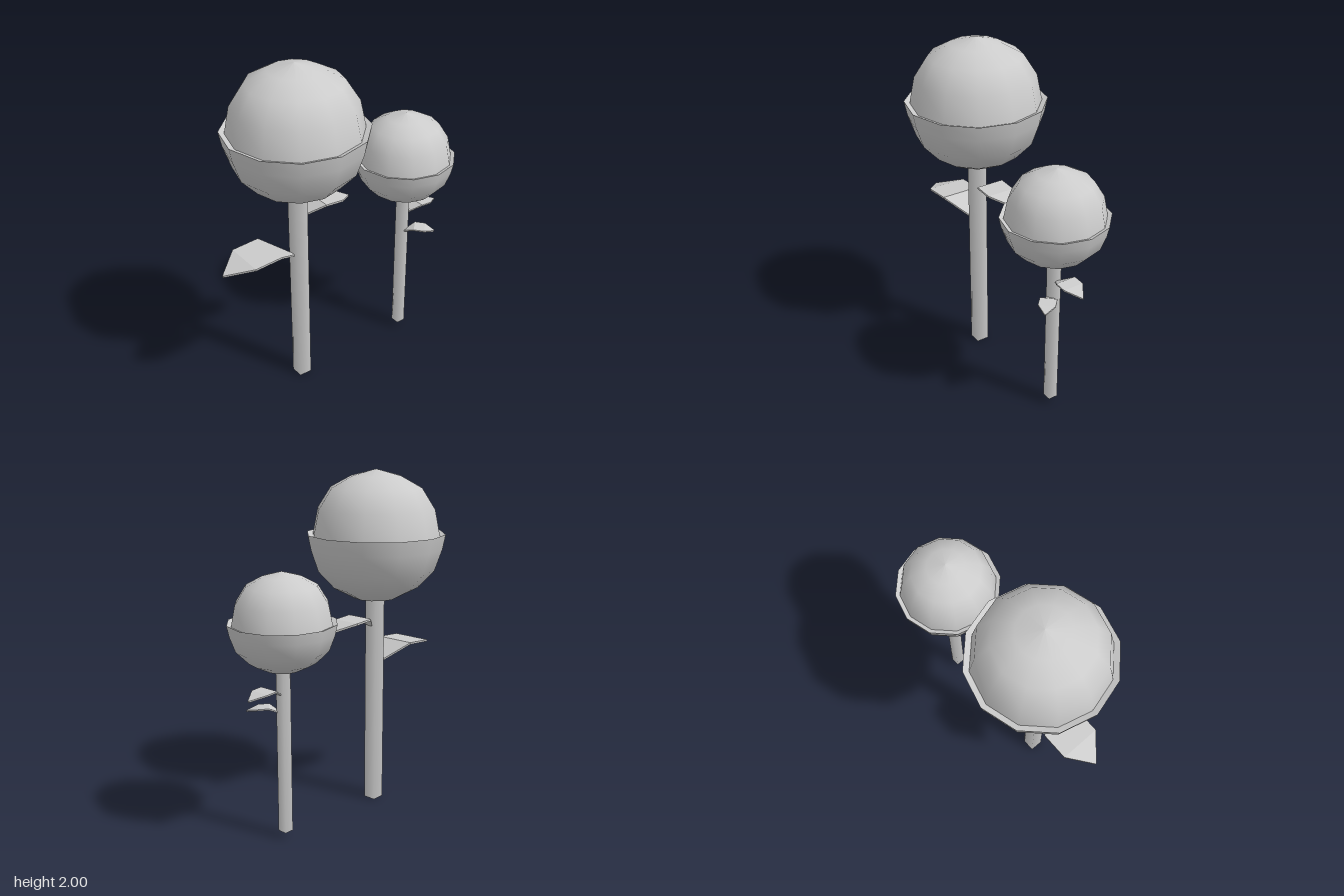
import * as THREE from 'three';

const smooth = new THREE.MeshStandardMaterial({ color: 0xcccccc, side: THREE.DoubleSide });
const faceted = new THREE.MeshStandardMaterial({ color: 0xcccccc, flatShading: true });

function add(parent, name, geometry, material) {
  const mesh = new THREE.Mesh(geometry, material);
  mesh.name = name;
  parent.add(mesh);
  return mesh;
}

// Twelve-sided turned form from [radius, height] pairs, bottom to top
function turned(profile, rScale, yScale) {
  const points = profile.map(([r, y]) => new THREE.Vector2(r * rScale, y * yScale));
  return new THREE.LatheGeometry(points, 12);
}

// Thin folded leaf growing along +z; stations are [z, y, halfWidth]
function leafGeometry(stations, thickness) {
  const geo = new THREE.BoxGeometry(2, thickness, 1, 1, 1, stations.length - 1);
  const p = geo.attributes.position;
  for (let i = 0; i < p.count; i++) {
    const [z, y, half] = stations[Math.round((p.getZ(i) + 0.5) * (stations.length - 1))];
    p.setXYZ(i, p.getX(i) * half, y + p.getY(i), z);
  }
  geo.computeVertexNormals();
  return geo;
}

// Radii and heights relative to the cup rim
const domeProfile = [[0.375, -0.04], [0.37, 0], [0.342, 0.14], [0.265, 0.26], [0.145, 0.325], [0, 0.363]];
const cupProfile = [[0, -0.4], [0.125, -0.378], [0.25, -0.312], [0.345, -0.21], [0.388, -0.085], [0.405, 0]];
const rimProfile = [[0.405, 0], [0.365, -0.015]];

function createTree(name, o) {
  const tree = new THREE.Group();
  tree.name = name;
  tree.position.z = o.z;

  // Square open-ended trunk
  const height = o.rimY - 0.2 - o.baseY;
  const trunk = new THREE.CylinderGeometry(o.trunkHalf * Math.SQRT2, o.trunkHalf * Math.SQRT2, height, 4, 1, true);
  trunk.rotateY(Math.PI / 4);
  add(tree, 'trunk', trunk, smooth).position.y = o.baseY + height / 2;

  // Crown: dome sitting in a wider cup
  const crown = new THREE.Group();
  crown.name = 'crown';
  crown.position.y = o.rimY;
  tree.add(crown);
  add(crown, 'crownDome', turned(domeProfile, o.rScale, o.domeScale), smooth);
  add(crown, 'crownCup', turned(cupProfile, o.rScale, o.cupScale), smooth);
  add(crown, 'crownRim', turned(rimProfile, o.rScale, o.rScale), smooth);

  for (const l of o.leaves) {
    const leaf = add(tree, l.name, leafGeometry(l.stations, 0.011 * o.rScale), faceted);
    leaf.rotation.y = l.turn;
    if (l.x) leaf.position.x = l.x;
  }
  return tree;
}

export function createModel() {
  const model = new THREE.Group();
  model.name = 'trees';

  model.add(createTree('largeTree', {
    z: 0.28, baseY: 0, trunkHalf: 0.039, rimY: 1.638, rScale: 1, domeScale: 1, cupScale: 1,
    leaves: [
      { name: 'frontLeaf', turn: 0,
        stations: [[0.03, 0.855, 0.006], [0.193, 0.961, 0.12], [0.357, 0.95, 0.12], [0.493, 0.9, 0.004]] },
      { name: 'backLeaf', turn: Math.PI,
        stations: [[0.03, 1.092, 0.006], [0.134, 1.158, 0.084], [0.25, 1.15, 0.084], [0.346, 1.113, 0.004]] },
    ],
  }));

  model.add(createTree('smallTree', {
    z: -0.48, baseY: 0.04, trunkHalf: 0.028, rimY: 1.241, rScale: 0.74, domeScale: 0.75, cupScale: 0.69,
    leaves: [
      { name: 'backLeaf', turn: Math.PI,
        stations: [[0.02, 0.84, 0.005], [0.105, 0.89, 0.062], [0.173, 0.885, 0.062], [0.255, 0.859, 0.004]] },
      { name: 'sideLeaf', turn: Math.PI * 0.75, x: 0.02,
        stations: [[0, 0.73, 0.005], [0.065, 0.766, 0.048], [0.128, 0.762, 0.048], [0.187, 0.745, 0.004]] },
    ],
  }));

  return model;
}
